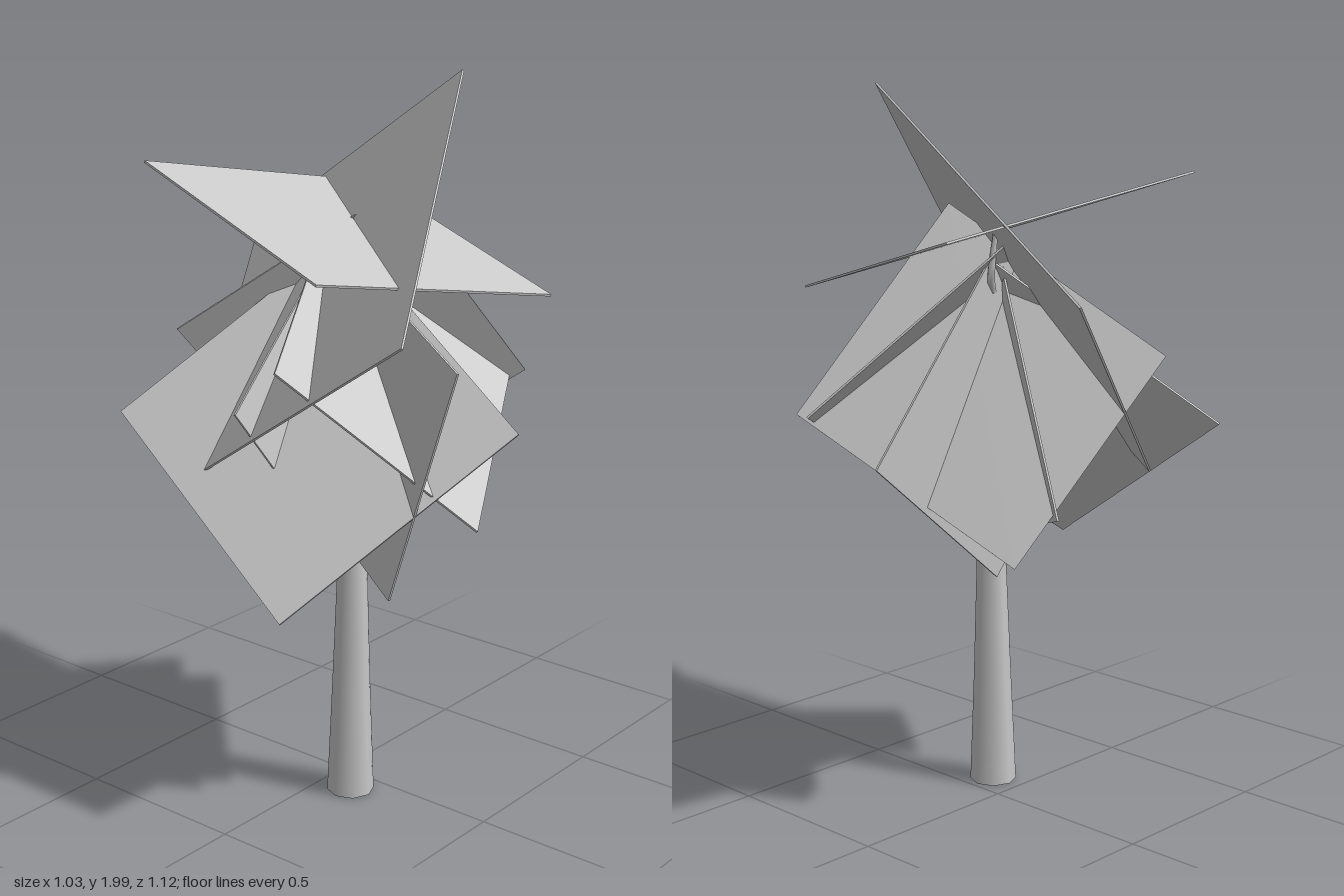
import * as THREE from 'three';

const grey = new THREE.MeshStandardMaterial({ color: 0xcccccc });
const V = (p) => new THREE.Vector3(...p);

// Tapered limb along a curve, closed at both ends
function limb(name, points, radii, rings = 20, sides = 8) {
  const group = new THREE.Group();
  group.name = name;
  const curve = new THREE.CatmullRomCurve3(points.map(V));
  const geo = new THREE.TubeGeometry(curve, rings, 1, sides, false);
  const pos = geo.attributes.position;
  const p = new THREE.Vector3();
  for (let i = 0; i <= rings; i++) {
    const t = i / rings, c = curve.getPointAt(t);
    const f = t * (radii.length - 1), k = Math.min(Math.floor(f), radii.length - 2);
    const r = THREE.MathUtils.lerp(radii[k], radii[k + 1], f - k);
    for (let j = 0; j <= sides; j++) {
      const n = i * (sides + 1) + j;
      p.fromBufferAttribute(pos, n).sub(c).multiplyScalar(r).add(c);
      pos.setXYZ(n, p.x, p.y, p.z);
    }
  }
  group.add(new THREE.Mesh(geo, grey));
  for (const end of [0, 1]) {
    const cap = new THREE.Mesh(new THREE.CircleGeometry(radii[end ? radii.length - 1 : 0], sides), grey);
    const dir = curve.getTangentAt(end).multiplyScalar(end ? 1 : -1);
    cap.position.copy(curve.getPointAt(end));
    cap.quaternion.setFromUnitVectors(new THREE.Vector3(0, 0, 1), dir);
    group.add(cap);
  }
  group.children.forEach((m) => { m.name = name; });
  return group;
}

// Thin square leaf card from one corner and its two neighbours
function leafCard(corner, next, prev) {
  const o = V(corner), u = V(next).sub(o), w = V(prev).sub(o);
  const mesh = new THREE.Mesh(new THREE.BoxGeometry(u.length(), w.length(), 0.006), grey);
  mesh.position.copy(o).addScaledVector(u, 0.5).addScaledVector(w, 0.5);
  const x = u.clone().normalize();
  const z = u.clone().cross(w).normalize();
  const y = z.clone().cross(x);
  mesh.quaternion.setFromRotationMatrix(new THREE.Matrix4().makeBasis(x, y, z));
  mesh.name = 'leafCard';
  return mesh;
}

export function createModel() {
  const tree = new THREE.Group();
  tree.name = 'tree';

  // Trunk, flared at the foot and bending towards the crown
  tree.add(limb('trunk',
    [[-0.08, 0.01, 0.095], [-0.077, 0.35, 0.095], [-0.073, 0.7, 0.095], [-0.06, 1.0, 0.085],
      [-0.02, 1.3, 0.05], [0.05, 1.61, 0]],
    [0.066, 0.053, 0.042, 0.03, 0.02, 0.008]));

  // Side branches
  tree.add(limb('lowerBranch',
    [[-0.06, 0.72, 0.09], [0.03, 0.81, 0.17], [0.1, 0.95, 0.24], [0.12, 1.16, 0.275]],
    [0.024, 0.022, 0.019, 0.014], 12, 6));
  tree.add(limb('upperBranch',
    [[-0.04, 1.2, 0.06], [0.03, 1.4, -0.02], [0.12, 1.5, -0.09], [0.12, 1.62, -0.107]],
    [0.018, 0.016, 0.013, 0.007], 12, 6));

  // Crown of crossing cards
  const cards = [
    [[0.24, 2.0, 0.21], [-0.425, 1.44, 0.53], [0.3, 1.49, -0.56]],
    [[-0.33, 1.77, -0.4], [0.436, 1.63, -0.245], [-0.516, 1.58, 0.343]],
    [[0.51, 1.14, 0.21], [0.11, 1.59, -0.13], [-0.06, 0.875, 0.49]],
    [[-0.476, 0.665, 0.185], [0.033, 1.125, 0.558], [-0.396, 1.09, -0.455]],
    [[-0.2, 1.33, 0.53], [-0.185, 0.67, 0.31], [0.07, 1.54, -0.08]],
    [[0.513, 1.05, -0.065], [-0.015, 0.645, 0.02], [0.1, 1.58, -0.09]],
    [[0.1, 1.69, 0.08], [0.49, 1.15, 0.26], [-0.21, 1.29, -0.41]],
  ];
  const crown = new THREE.Group();
  crown.name = 'crown';
  cards.forEach((c) => crown.add(leafCard(...c)));
  tree.add(crown);
  return tree;
}
